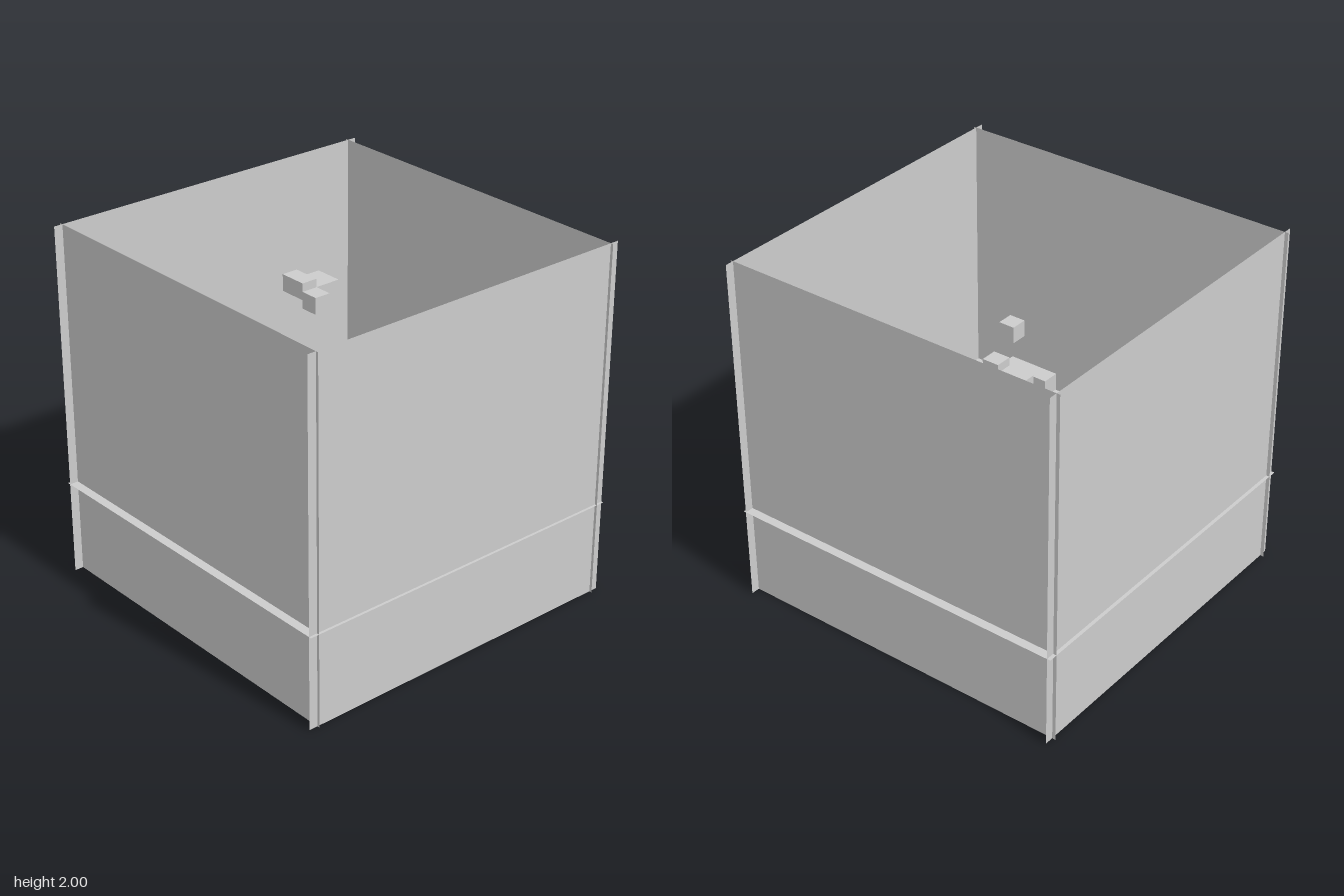
import * as THREE from 'three';

const grey = new THREE.MeshStandardMaterial({ color: 0xcccccc, flatShading: true });
const sheet = new THREE.MeshStandardMaterial({ color: 0xcccccc, side: THREE.DoubleSide });

const FLOOR_Y = 0.53;

// Thin square sheet, 2 units on a side
function panel(name, position, rotation) {
  const mesh = new THREE.Mesh(new THREE.PlaneGeometry(2, 2), sheet);
  mesh.name = name;
  mesh.position.set(...position);
  mesh.rotation.set(...rotation);
  return mesh;
}

// Box given by its extents on each axis
function block(name, [x0, x1], [y0, y1], [z0, z1]) {
  const mesh = new THREE.Mesh(new THREE.BoxGeometry(x1 - x0, y1 - y0, z1 - z0), grey);
  mesh.name = name;
  mesh.position.set((x0 + x1) / 2, (y0 + y1) / 2, (z0 + z1) / 2);
  return mesh;
}

export function createModel() {
  const model = new THREE.Group();
  model.name = 'obstacleRoom';

  // Room: four crossing walls and a raised floor
  const q = Math.PI / 2;
  const room = new THREE.Group();
  room.name = 'room';
  room.add(
    panel('frontWall', [0, 1, 0.985], [0, 0, 0]),
    panel('backWall', [0, 1, -0.98], [0, Math.PI, 0]),
    panel('leftWall', [0.95, 1, 0], [0, q, 0]),
    panel('rightWall', [-0.95, 1, 0], [0, -q, 0]),
    panel('floor', [0, FLOOR_Y, 0], [-q, 0, 0])
  );
  model.add(room);

  // Starting corner in the middle: a thin wall sunk into the floor and a slab
  const start = new THREE.Group();
  start.name = 'startingCorner';
  start.add(
    block('thinWall', [0.25, 0.29], [0.515, 0.64], [-0.06, 0.28]),
    block('startSlab', [-0.04, 0.25], [FLOOR_Y, 0.64], [-0.06, 0.04])
  );
  model.add(start);

  // Floating platforms, climbing around the room: x range, top, z range
  const platforms = [
    ['centreStep', [0.18, 0.28], 0.74, [-0.15, -0.05]],
    ['sideStep', [0.81, 0.91], 0.78, [-0.2, -0.1]],
    ['crossBeam', [0.46, 0.74], 0.82, [0.38, 0.48]],
    ['frontBeam', [0.6, 0.69], 0.87, [0.52, 0.8]],
    ['lowLedge', [-0.56, -0.38], 0.86, [0.31, 0.51]],
    ['lowLedgeArm', [-0.66, -0.56], 0.86, [0.21, 0.51]],
    ['ledgeStep', [-0.47, -0.37], 0.94, [0.22, 0.385]],
    ['ledgeUpperStep', [-0.47, -0.37], 0.99, [0.385, 0.49]],
    ['cornerStep', [-0.82, -0.72], 1.0, [0.55, 0.65]],
    ['stairLow', [-0.45, -0.35], 1.0, [-0.46, -0.36]],
    ['stairMiddle', [-0.6, -0.45], 1.06, [-0.46, -0.36]],
    ['stairHigh', [-0.75, -0.6], 1.12, [-0.46, -0.36]],
    ['highBeam', [-0.64, -0.54], 1.28, [-0.85, -0.64]],
    ['finishSlab', [0.54, 0.7], 1.3, [-0.94, -0.77]],
    ['finishArm', [0.44, 0.54], 1.3, [-0.77, -0.66]],
    ['finishBlock', [0.44, 0.54], 1.35, [-0.94, -0.77]],
  ];
  const course = new THREE.Group();
  course.name = 'platforms';
  for (const [name, x, top, z] of platforms) course.add(block(name, x, [top - 0.1, top], z));
  model.add(course);

  return model;
}
